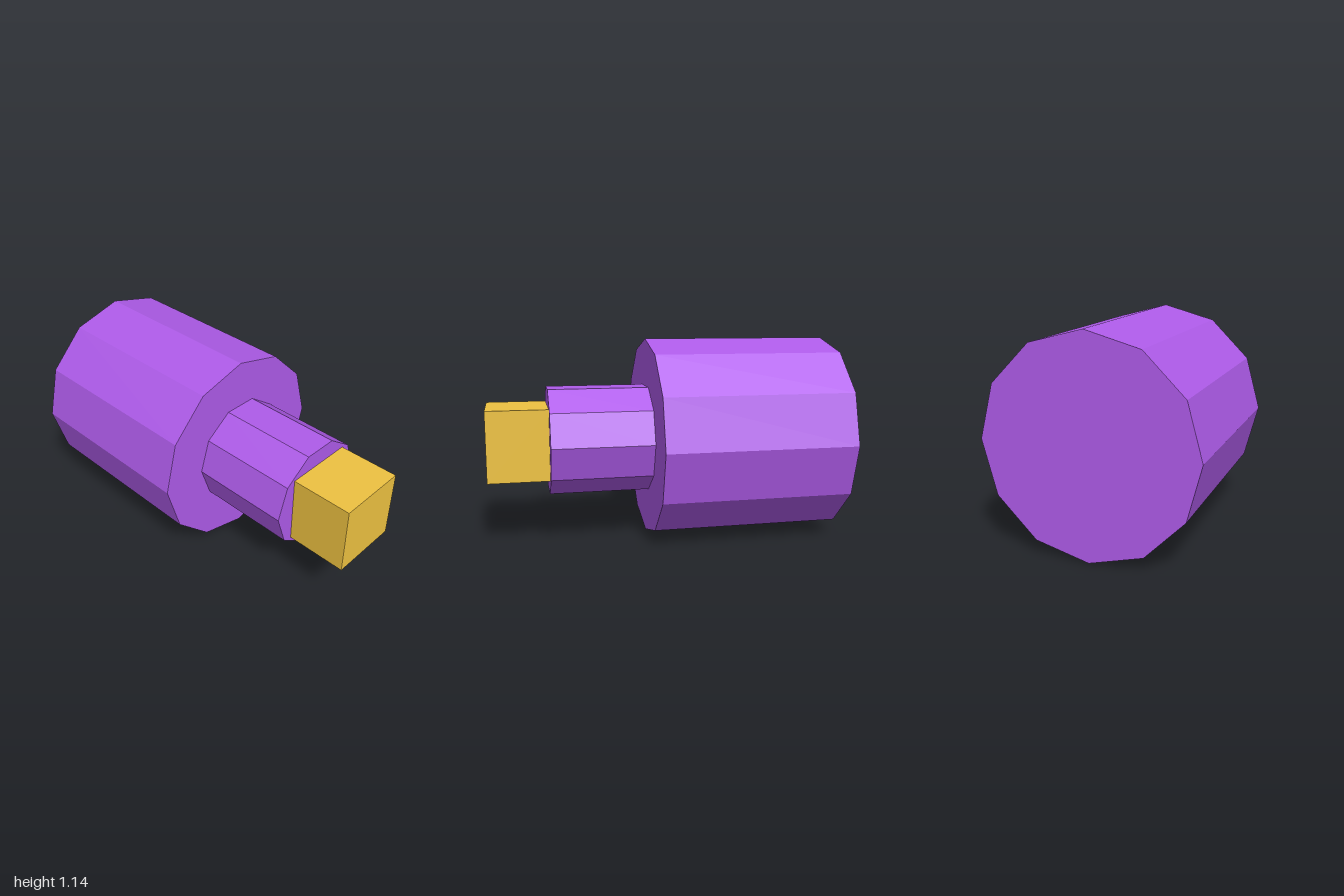
import * as THREE from 'three';

const AXIS_Y = 0.572; // height of the shared axis

export function createModel() {
  const model = new THREE.Group();
  const purple = new THREE.MeshStandardMaterial({ color: 0xae5be9, flatShading: true });
  const yellow = new THREE.MeshStandardMaterial({ color: 0xeec241, flatShading: true });

  // Place a part along the z axis between two depths
  const add = (name, geometry, material, z0, z1) => {
    const mesh = new THREE.Mesh(geometry, material);
    mesh.name = name;
    mesh.position.set(0, AXIS_Y, (z0 + z1) / 2);
    model.add(mesh);
  };

  // Faceted prism lying along z, with its first corner turned by `turn`
  const prism = (name, radius, sides, z0, z1, turn) => {
    const geometry = new THREE.CylinderGeometry(radius, radius, z1 - z0, sides, 1, false, turn);
    geometry.rotateX(Math.PI / 2);
    add(name, geometry, purple, z0, z1);
  };

  // Twelve-sided main body, corner at the top
  prism('body', 0.572, 12, -1, 0.085, 0);
  // Ten-sided neck, flat side at the top
  prism('neck', 0.314, 10, 0.085, 0.657, Math.PI / 2);
  // Square tip
  add('tip', new THREE.BoxGeometry(0.4, 0.4, 0.343), yellow, 0.657, 1);

  return model;
}
